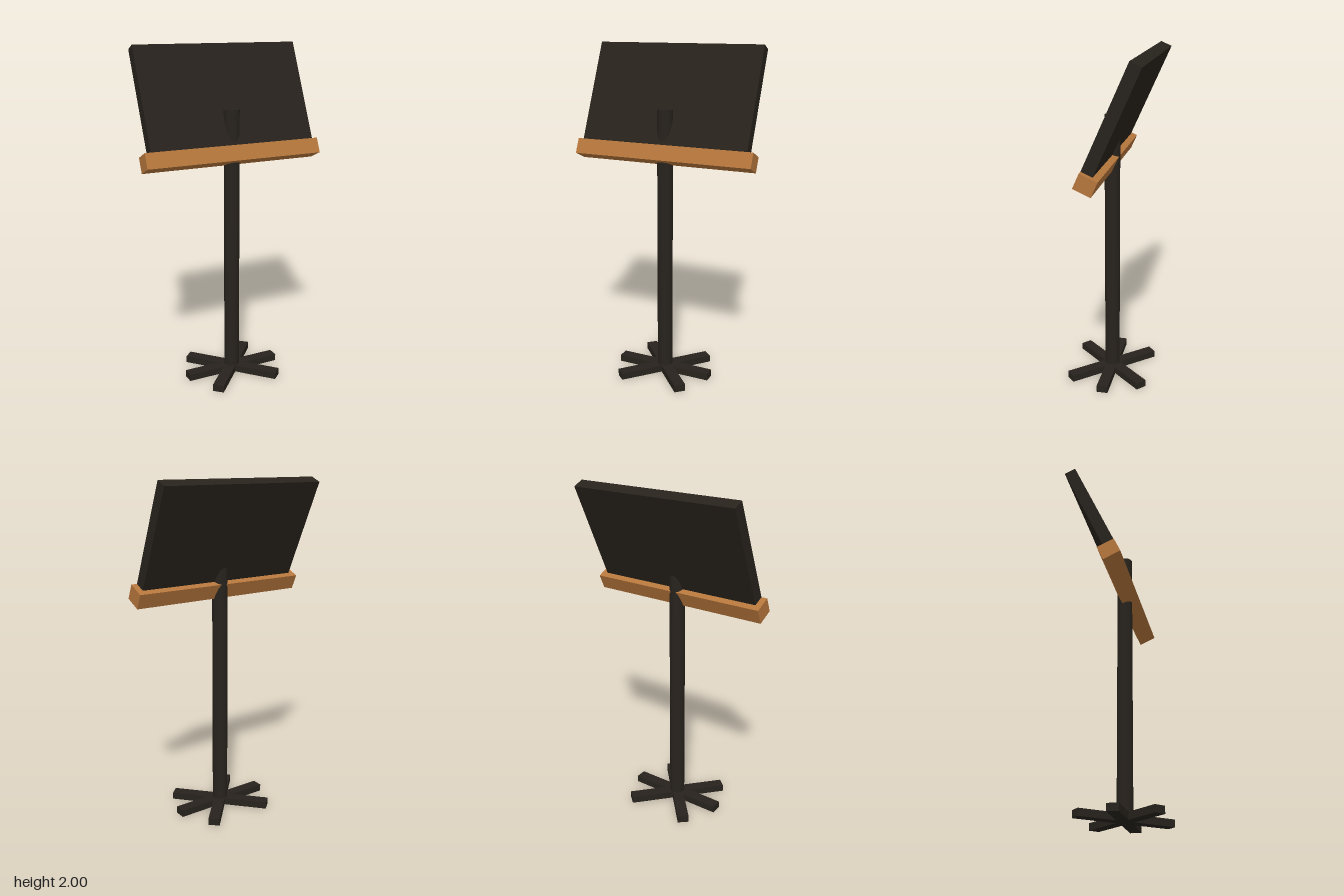
import * as THREE from 'three';

export function createModel() {
  const root = new THREE.Group();
  root.name = 'musicStand';
  const black = new THREE.MeshStandardMaterial({ color: 0x27221c });
  const wood = new THREE.MeshStandardMaterial({ color: 0xb5763c });
  const rad = THREE.MathUtils.degToRad;

  function add(parent, name, geometry, material, x, y, z) {
    const mesh = new THREE.Mesh(geometry, material);
    mesh.name = name;
    mesh.position.set(x, y, z);
    parent.add(mesh);
    return mesh;
  }

  // Foot: three flat bars crossing under the post
  const foot = new THREE.Group();
  foot.name = 'foot';
  foot.position.z = 0.005;
  root.add(foot);
  for (const angle of [0, 48, -48]) {
    const bar = add(foot, 'footBar', new THREE.BoxGeometry(0.6, 0.042, 0.067), black, 0, 0.021, 0);
    bar.rotation.y = rad(angle);
  }

  // Post: runs up through the tray and the panel
  add(root, 'post', new THREE.CylinderGeometry(0.046, 0.046, 1.64, 16), black, 0, 0.82, 0.005);

  // Desk: tray and panel leaning back together, front faces flush
  const desk = new THREE.Group();
  desk.name = 'desk';
  desk.position.set(0, 1.38, 0.029);
  desk.rotation.x = rad(-24);
  root.add(desk);
  add(desk, 'tray', new THREE.BoxGeometry(1.1, 0.092, 0.106), wood, 0, 0, 0);
  add(desk, 'panel', new THREE.BoxGeometry(1.03, 0.609, 0.069), black, 0, 0.3505, 0.0185);

  return root;
}
